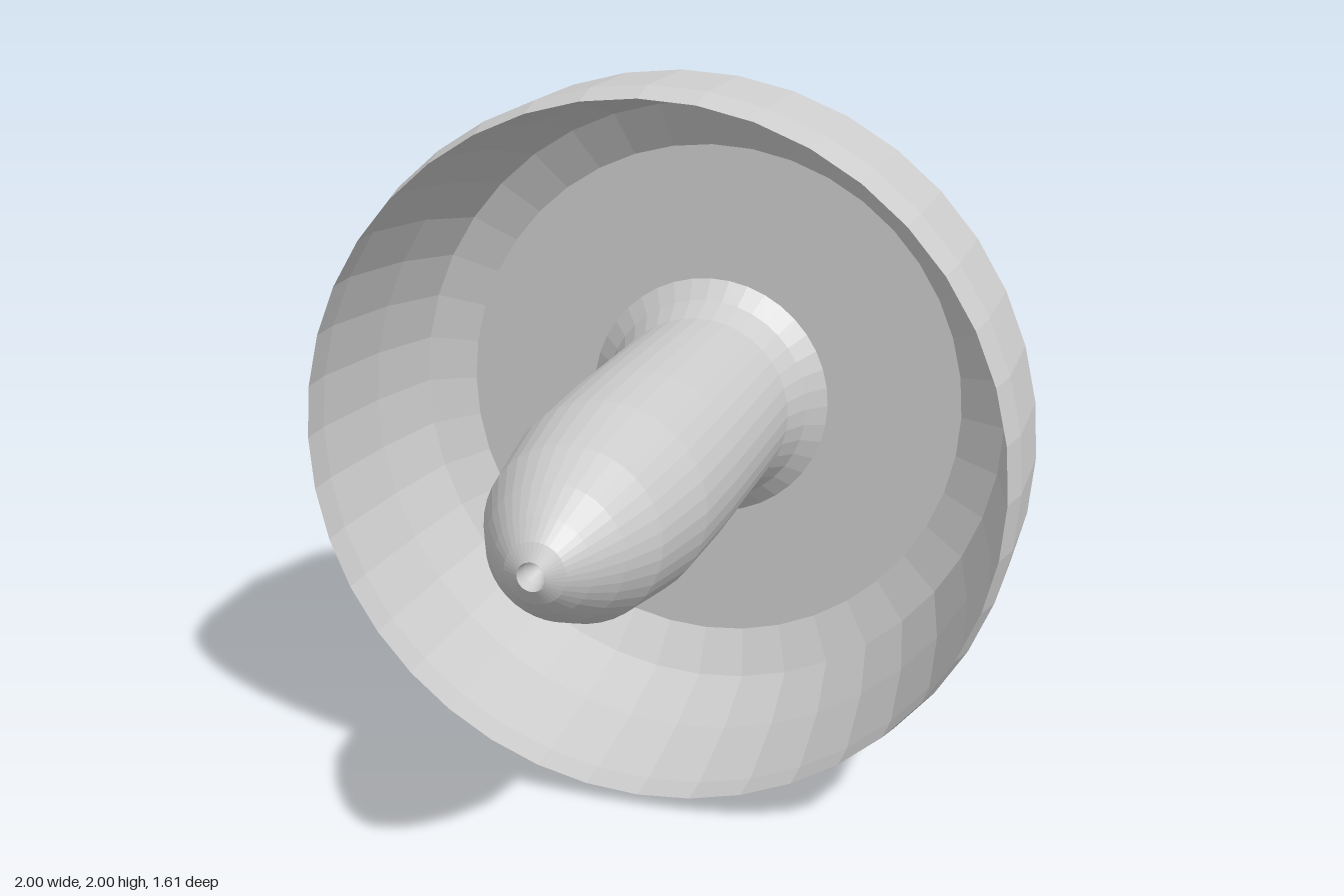
import * as THREE from 'three';

const SIDES = 40;

export function createModel() {
  const model = new THREE.Group();
  const material = new THREE.MeshStandardMaterial({ color: 0xcccccc, flatShading: true });

  // Turns a profile of [radius, z] pairs around the z axis at height 1.
  function turned(name, profile) {
    const points = profile.map(([r, z]) => new THREE.Vector2(r, z));
    const geometry = new THREE.LatheGeometry(points, SIDES);
    geometry.rotateX(Math.PI / 2);
    geometry.translate(0, 1, 0);
    const mesh = new THREE.Mesh(geometry, material);
    mesh.name = name;
    model.add(mesh);
  }

  // Flat back plate, chamfer and bulging outer wall up to the rim
  turned('outerShell', [
    [0.035, -0.805], [0.72, -0.805], [0.93, -0.7], [1, -0.4], [0.99, -0.09], [0.965, 0.01],
  ]);

  // Inside of the cup, from the rim down to the floor
  turned('innerShell', [
    [0.965, 0.01], [0.972, -0.1], [0.945, -0.4], [0.89, -0.655], [0.76, -0.73], [0.365, -0.73],
  ]);

  // Flared foot where the spindle meets the floor
  turned('spindleFoot', [[0.365, -0.73], [0.31, -0.68], [0.275, -0.59]]);

  // Rounded, tapering spindle
  turned('spindle', [
    [0.275, -0.59], [0.273, 0], [0.265, 0.28], [0.225, 0.53], [0.172, 0.65],
    [0.12, 0.73], [0.075, 0.78], [0.035, 0.805],
  ]);

  // Fine bore through the axis, widened at both ends
  turned('bore', [
    [0.035, 0.805], [0.03, 0.77], [0.015, 0.73], [0.015, -0.73], [0.03, -0.77], [0.035, -0.805],
  ]);

  return model;
}
